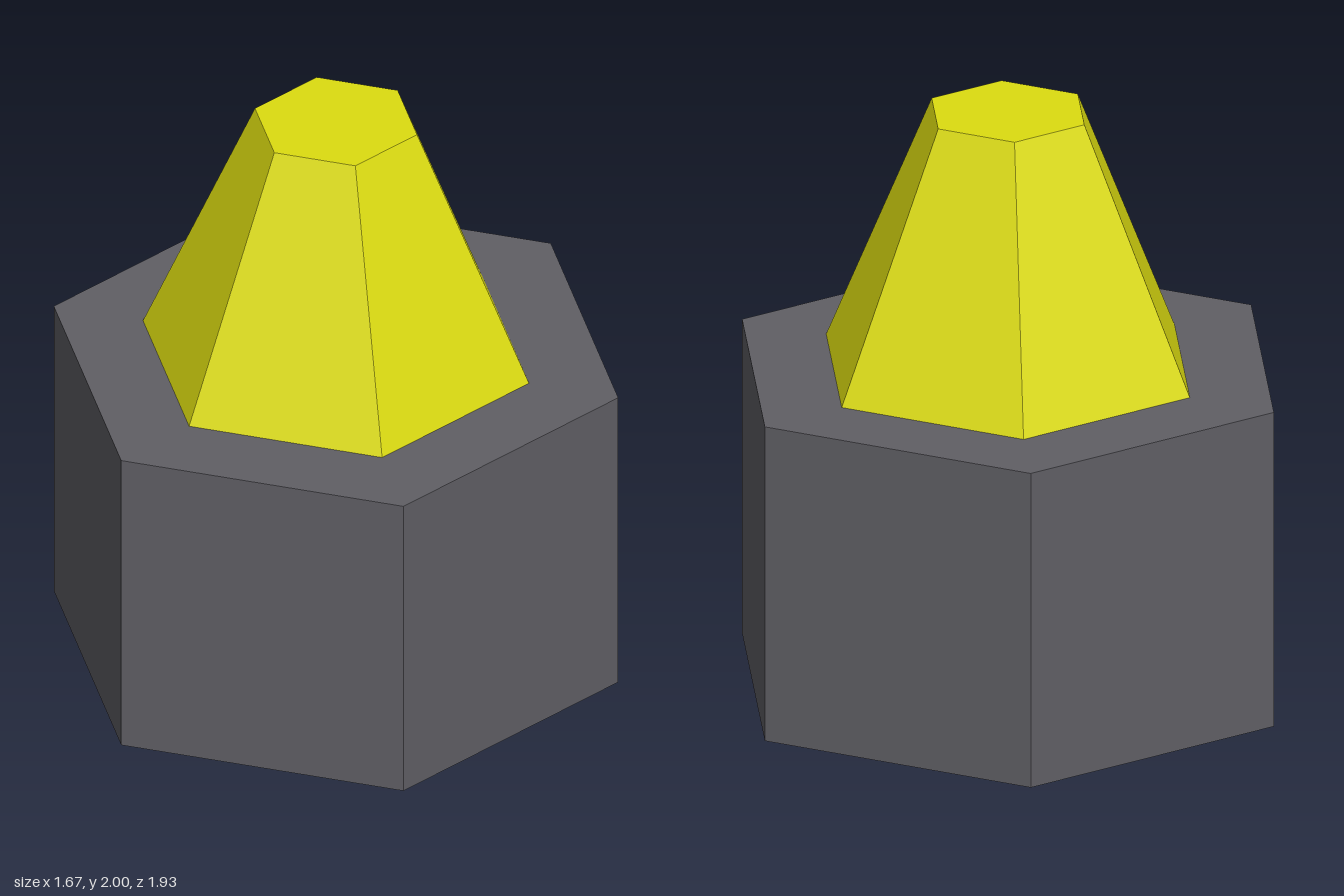
import * as THREE from 'three';

export function createModel() {
  const model = new THREE.Group();
  const darkGrey = new THREE.MeshStandardMaterial({ color: 0x605f65, flatShading: true });
  darkGrey.name = 'darkGrey';
  const yellow = new THREE.MeshStandardMaterial({ color: 0xdddd10, flatShading: true });
  yellow.name = 'yellow';

  // Six-sided column with a corner facing the front
  const addHexagon = (name, topRadius, bottomRadius, bottom, top, material) => {
    const height = top - bottom;
    const mesh = new THREE.Mesh(
      new THREE.CylinderGeometry(topRadius, bottomRadius, height, 6),
      material
    );
    mesh.name = name;
    mesh.position.y = bottom + height / 2;
    model.add(mesh);
  };

  // Hexagonal base block
  addHexagon('base', 0.965, 0.965, 0, 1.105, darkGrey);
  // Tapered tip standing on the base
  addHexagon('tip', 0.277, 0.66, 1.105, 2, yellow);

  return model;
}
